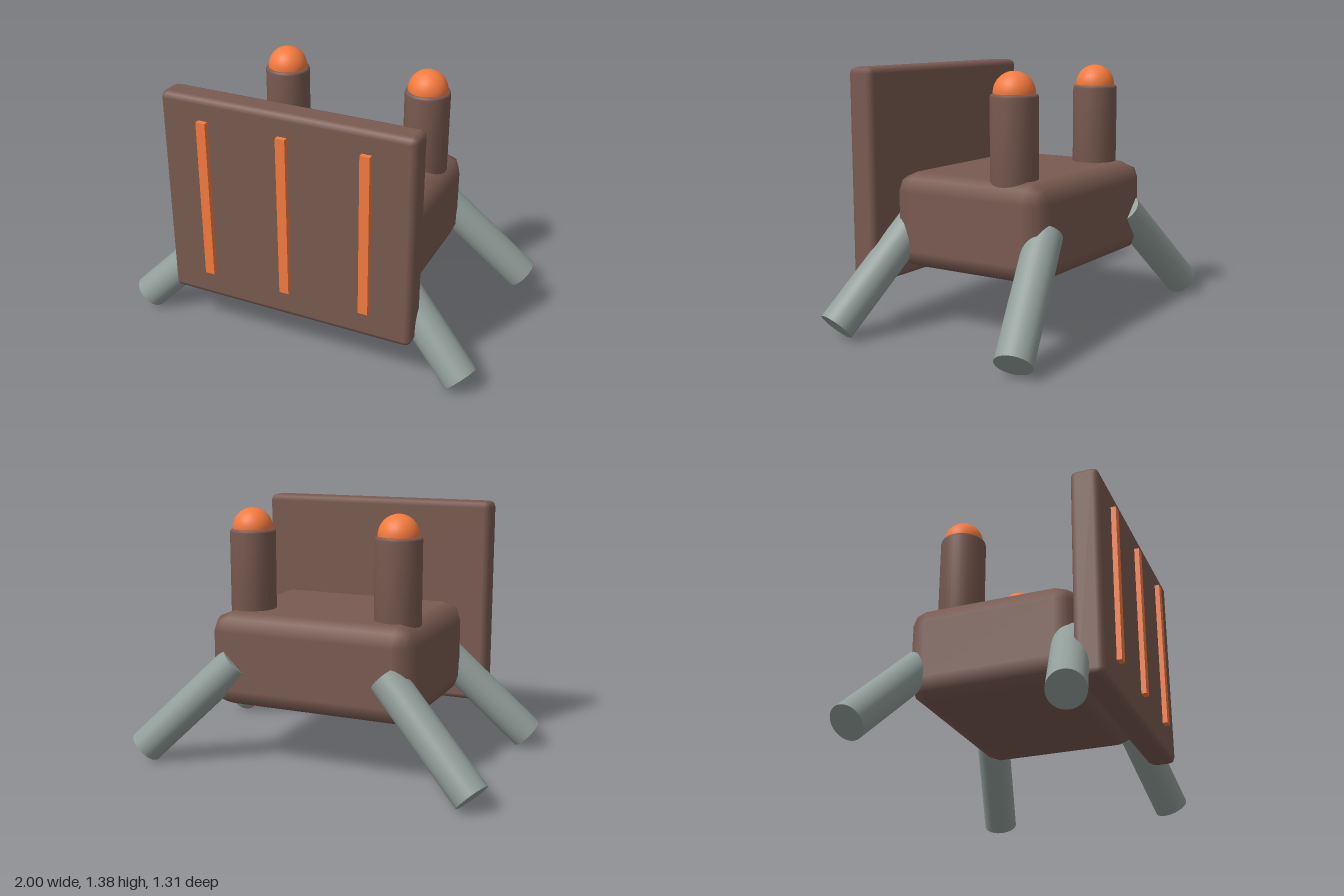
import * as THREE from 'three';
import { RoundedBoxGeometry } from 'three/addons/geometries/RoundedBoxGeometry.js';

const brown = new THREE.MeshStandardMaterial({ color: 0x795a50 });
const grey = new THREE.MeshStandardMaterial({ color: 0x919e99 });
const orange = new THREE.MeshStandardMaterial({ color: 0xf57a3d });

export function createModel() {
  const model = new THREE.Group();
  model.name = 'shieldWalker';

  const add = (name, geometry, material, x, y, z) => {
    const mesh = new THREE.Mesh(geometry, material);
    mesh.name = name;
    mesh.position.set(x, y, z);
    model.add(mesh);
    return mesh;
  };

  // Body and the shield standing in front of it
  const bodyZ = -0.018;
  add('body', new RoundedBoxGeometry(1.15, 0.513, 0.914, 1, 0.1), brown, 0, 0.579, bodyZ);
  add('shield', new RoundedBoxGeometry(1.372, 1.147, 0.152, 1, 0.032), brown, 0, 0.812, 0.549);

  // Bright strips on the shield
  for (const x of [-0.442, 0, 0.442]) {
    add('shieldStrip', new THREE.BoxGeometry(0.052, 0.872, 0.04), orange, x, 0.831, 0.632);
  }

  // Posts with a slightly bevelled rim, each topped by a dome
  const postProfile = [[0, 0], [0.123, 0], [0.123, 0.65], [0.119, 0.661], [0.108, 0.665], [0, 0.665]]
    .map(([r, y]) => new THREE.Vector2(r, y));
  for (const side of [1, -1]) {
    const name = side > 0 ? 'left' : 'right';
    add(name + 'Post', new THREE.LatheGeometry(postProfile, 32), brown, side * 0.418, 0.6, -0.233);
    add(name + 'Dome', new THREE.SphereGeometry(0.108, 32, 20), orange, side * 0.418, 1.27, -0.233);
    // Small eyes on the body, behind the shield
    add(name + 'Eye', new THREE.SphereGeometry(0.048, 16, 12), orange, side * 0.15, 0.56, 0.41);
  }

  // Four splayed legs
  const up = new THREE.Vector3(0, 1, 0);
  for (const side of [1, -1]) {
    for (const end of [1, -1]) {
      const foot = new THREE.Vector3(side * 0.932, 0.069, bodyZ + end * 0.543);
      const hip = new THREE.Vector3(side * 0.43, 0.571, bodyZ + end * 0.4);
      const axis = hip.clone().sub(foot);
      const mid = hip.clone().add(foot).multiplyScalar(0.5);
      const leg = add((end > 0 ? 'front' : 'back') + (side > 0 ? 'Left' : 'Right') + 'Leg',
        new THREE.CylinderGeometry(0.095, 0.095, axis.length(), 32), grey, mid.x, mid.y, mid.z);
      leg.quaternion.setFromUnitVectors(up, axis.normalize());
    }
  }

  return model;
}
